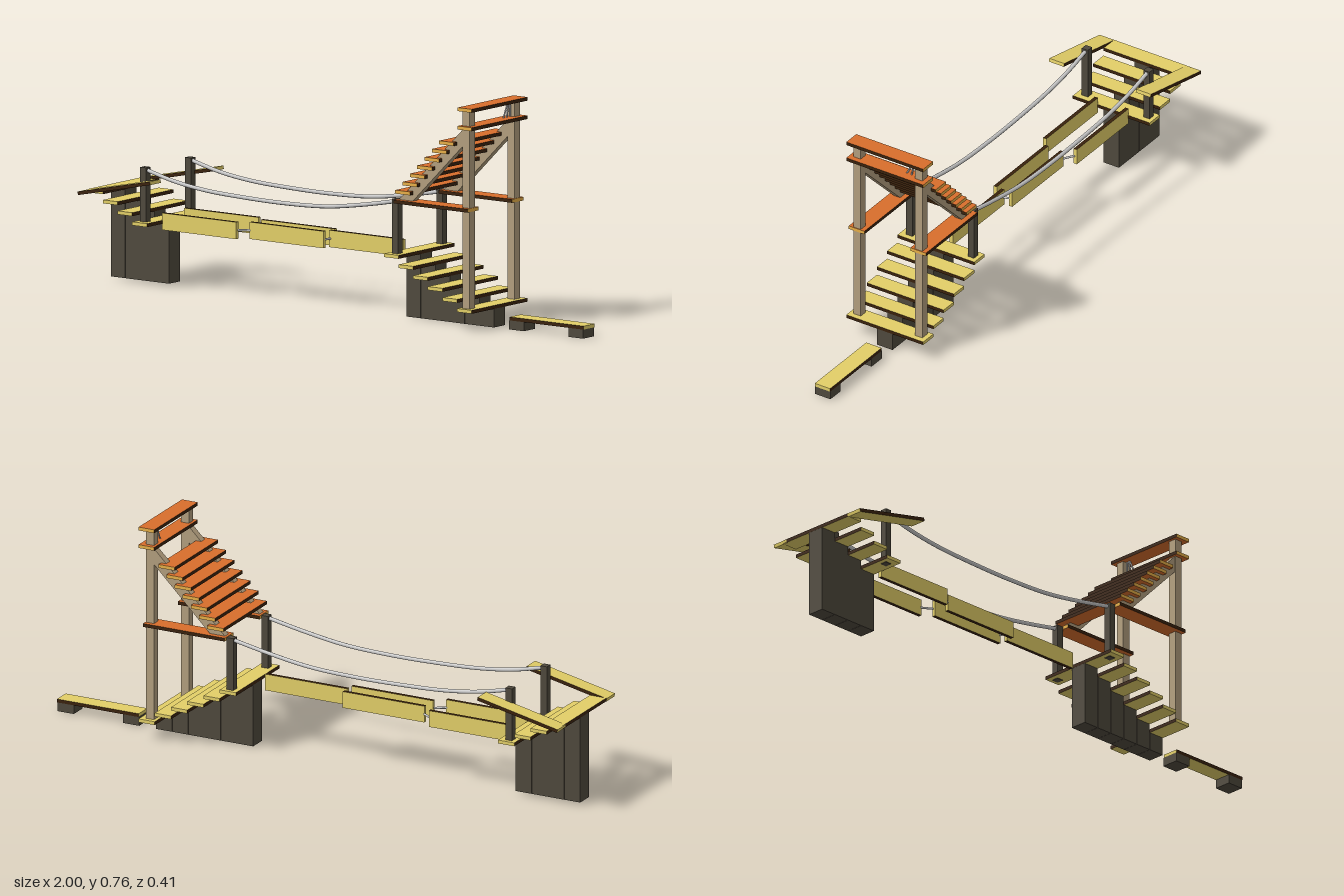
import * as THREE from 'three';

const mat = (name, color) => {
  const m = new THREE.MeshStandardMaterial({ color });
  m.name = name;
  return m;
};

export function createModel() {
  const yellow = mat('yellow wood', 0xe3cf68);
  const orange = mat('orange wood', 0xd86e2c);
  const grain = mat('orange wood end', 0xf2b84c);
  const edge = mat('dark plank edge', 0x3a220c);
  const charcoal = mat('charcoal', 0x4f493d);
  const tan = mat('tan timber', 0xb39f7e);
  const grey = mat('grey rope', 0xc8c8c8);

  const model = new THREE.Group();
  model.name = 'obstacleCourse';
  const ZC = -0.009; // centre line of the course
  const T = 0.012; // plank thickness

  const group = (name) => {
    const g = new THREE.Group();
    g.name = name;
    model.add(g);
    return g;
  };
  const box = (parent, name, material, size, pos) => {
    const m = new THREE.Mesh(new THREE.BoxGeometry(...size), material);
    m.name = name;
    m.position.set(...pos);
    parent.add(m);
    return m;
  };
  // plank lying along x, with dark long edges
  const plank = (parent, name, face, end, length, width, pos, rot = [0, 0, 0], t = T) => {
    const m = box(parent, name, [end, end, face, face, edge, edge], [length, t, width], pos);
    m.rotation.set(...rot);
    return m;
  };
  const across = [0, Math.PI / 2, 0];
  const rod = (parent, name, a, b, r) => {
    const curve = new THREE.LineCurve3(new THREE.Vector3(...a), new THREE.Vector3(...b));
    const m = new THREE.Mesh(new THREE.TubeGeometry(curve, 1, r, 6), grey);
    m.name = name;
    parent.add(m);
  };

  // stepped blocks with treads on top, a hairline gap between blocks
  const stairs = (name, x0, x1, count, topY, baseY) => {
    const g = group(name);
    const w = (x1 - x0) / count;
    for (let i = 0; i < count; i++) {
      const x = x0 + (i + 0.5) * w;
      const y = topY - i * 0.0313;
      const h = y - T / 2 - baseY;
      box(g, 'block', charcoal, [w - 0.001, h, 0.062], [x, baseY + h / 2, ZC]);
      plank(g, 'tread', yellow, yellow, 0.312, w, [x, y, ZC], across);
    }
    return g;
  };
  const start = stairs('startStairs', -1, -0.752, 4, 0.32, 0.01);
  stairs('towerStairs', 0.25, 0.622, 6, 0.226, 0);

  // sloping side boards of the start
  for (const z of [0.175, -0.177]) {
    plank(start, 'slopingBoard', yellow, yellow, 0.312, 0.06, [-0.848, 0.351, z], [0, 0, 0.21]);
  }

  // rope bridge handrails and their posts
  const bridge = group('ropeRails');
  for (const z of [0.112, -0.138]) {
    for (const x of [-0.785, 0.28]) {
      box(bridge, 'ropePost', charcoal, [0.025, 0.2, 0.025], [x, 0.318, z]);
    }
    const path = new THREE.CatmullRomCurve3([
      [-0.785, 0.41], [-0.66, 0.381], [-0.53, 0.364], [-0.36, 0.356], [-0.2, 0.354],
      [-0.02, 0.361], [0.13, 0.382], [0.28, 0.41],
    ].map(([x, y]) => new THREE.Vector3(x, y, z)));
    const rope = new THREE.Mesh(new THREE.TubeGeometry(path, 40, 0.007, 8), grey);
    rope.name = 'handrailRope';
    bridge.add(rope);
  }

  // upright balance beams, two pairs then a single one
  const beams = group('balanceBeams');
  const beam = (x0, x1, dz) => plank(beams, 'beam', yellow, yellow, x1 - x0, 0.058,
    [(x0 + x1) / 2, 0.228, ZC + dz], [Math.PI / 2, 0, 0], 0.013);
  for (const s of [1, -1]) {
    beam(-0.755, -0.441, s * 0.062);
    beam(-0.407, -0.095, s * 0.031);
    rod(beams, 'beamLink', [-0.45, 0.228, ZC + s * 0.062], [-0.4, 0.228, ZC + s * 0.031], 0.004);
    rod(beams, 'beamLink', [-0.1, 0.228, ZC + s * 0.031], [-0.088, 0.228, ZC], 0.004);
  }
  beam(-0.095, 0.218, 0);

  // tower: tall posts, side rails, sloping stringers
  const tower = group('tower');
  const stringerShape = new THREE.Shape([
    [0.302, 0.42], [0.36, 0.42], [0.585, 0.643], [0.585, 0.7],
  ].map((p) => new THREE.Vector2(...p)));
  for (const z of [0.117, -0.133]) {
    box(tower, 'tallPost', tan, [0.03, 0.685, 0.03], [0.587, 0.413, z]);
    plank(tower, 'sideRail', orange, grain, 0.312, 0.063, [0.449, 0.414, z]);
    const geo = new THREE.ExtrudeGeometry(stringerShape, { depth: 0.026, bevelEnabled: false });
    const stringer = new THREE.Mesh(geo, tan);
    stringer.name = 'stringer';
    stringer.position.z = z - 0.013;
    tower.add(stringer);
  }

  // climbing slats and the two top planks
  for (let i = 0; i < 7; i++) {
    plank(tower, 'slat', orange, grain, 0.312, 0.062, [0.329 + i * 0.031, 0.448 + i * 0.0313, ZC], across);
  }
  for (const y of [0.694, 0.757]) {
    plank(tower, 'topPlank', orange, grain, 0.312, 0.06, [0.592, y, ZC], across);
  }

  // short rope strands between the top planks
  for (const [low, high] of [[-0.074, -0.102], [-0.094, -0.106], [-0.113, -0.113]]) {
    rod(tower, 'strand', [0.587, 0.695, low], [0.587, 0.752, high], 0.003);
  }

  // low bench at the end
  const bench = group('endBench');
  plank(bench, 'benchTop', yellow, yellow, 0.312, 0.062, [0.844, 0.037, ZC]);
  for (const x of [0.717, 0.967]) {
    box(bench, 'benchLeg', charcoal, [0.062, 0.031, 0.062], [x, 0.0155, ZC]);
  }
  return model;
}
